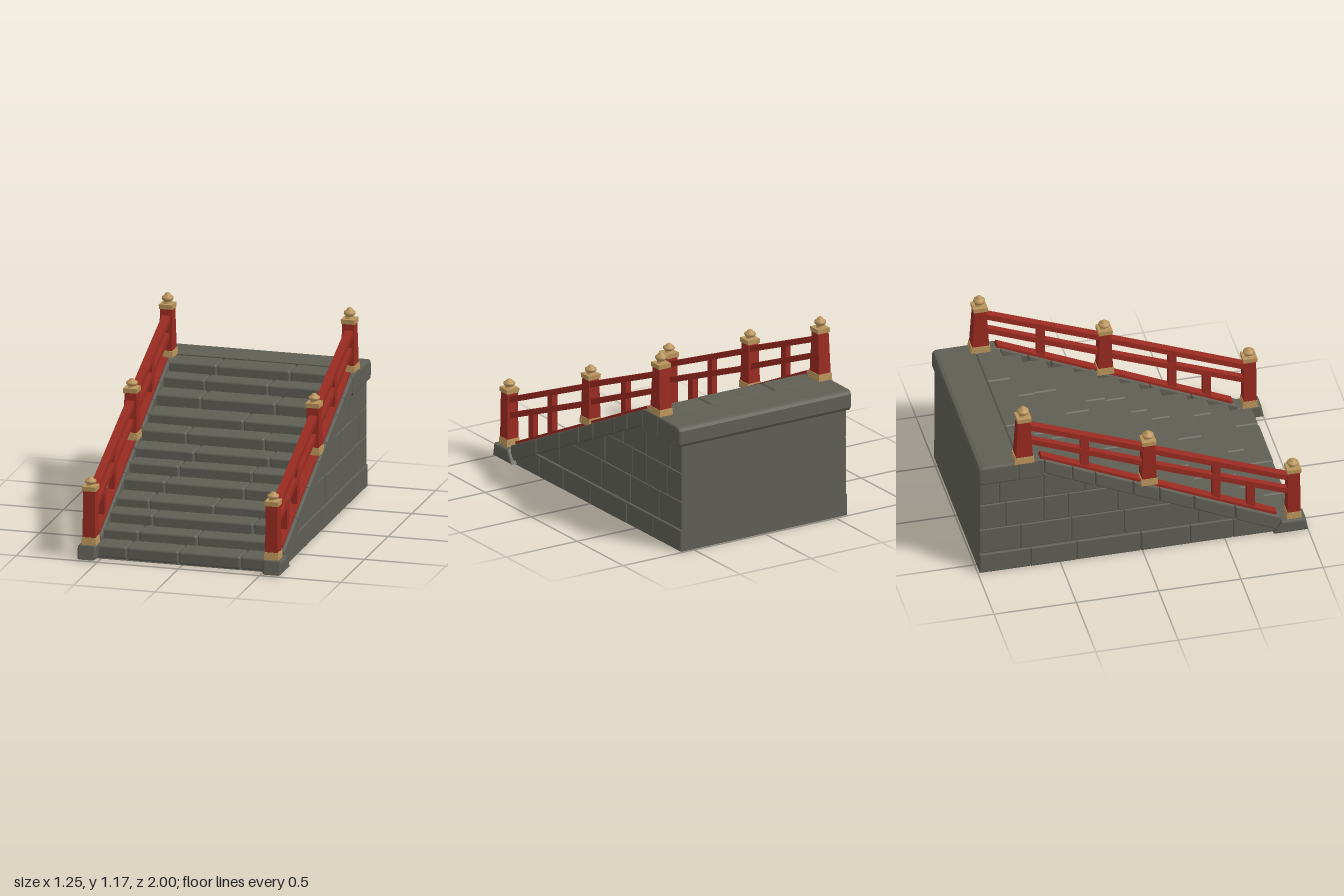
import * as THREE from 'three';
import { RoundedBoxGeometry } from 'three/addons/geometries/RoundedBoxGeometry.js';

const mat = (name, color) => {
  const m = new THREE.MeshStandardMaterial({ color });
  m.name = name;
  return m;
};

export function createModel() {
  const root = new THREE.Group();
  root.name = 'stoneStairway';
  const stone = mat('grey stone', 0x5f5e55);
  const red = mat('red lacquer', 0x982a20);
  const gold = mat('aged brass', 0xba945b);

  let seed = 7;
  const rand = () => (seed = (seed * 16807) % 2147483647) / 2147483647;

  const add = (parent, name, geo, material, x = 0, y = 0, z = 0) => {
    const m = new THREE.Mesh(geo, material);
    m.name = name;
    m.position.set(x, y, z);
    parent.add(m);
    return m;
  };
  const group = (name, parent = root) => {
    const g = new THREE.Group();
    g.name = name;
    parent.add(g);
    return g;
  };

  // Side profile of [z, y] points, extruded from x0 to x1 with a worn edge
  const slab = (pts, x0, x1, b = 0.008) => {
    const shape = new THREE.Shape(pts.map(p => new THREE.Vector2(p[0], p[1])));
    const g = new THREE.ExtrudeGeometry(shape, {
      depth: x1 - x0 - 2 * b, bevelEnabled: b > 0, bevelThickness: b,
      bevelSize: b, bevelOffset: -b, bevelSegments: 2,
    });
    return g.rotateY(-Math.PI / 2).translate(x1 - b, 0, 0);
  };

  // Four-sided block, standing on y = 0, tapering towards its top
  const taper = (w0, d0, w1, d1, h) => {
    const g = new THREE.BoxGeometry(1, h, 1).translate(0, h / 2, 0);
    const p = g.attributes.position;
    for (let i = 0; i < p.count; i++) {
      const top = p.getY(i) > h / 2;
      p.setX(i, p.getX(i) * (top ? w1 : w0));
      p.setZ(i, p.getZ(i) * (top ? d1 : d0));
    }
    g.computeVertexNormals();
    return g;
  };

  // Sloping lines of the side kerbs
  const SLOPE = 0.465;
  const kerbTop = z => 0.79 - SLOPE * (z + 0.62);
  const kerbLow = z => kerbTop(z) - 0.1;

  // Solid core, back wall and underside
  add(root, 'core', slab([[0.92, 0], [-0.988, 0], [-0.988, 0.75], [-0.7, 0.75],
    [-0.6, 0.69], [0.78, 0.055], [0.9, 0.03]], -0.573, 0.573, 0), stone);

  // Landing slab
  add(root, 'landing', slab([[-0.757, 0.66], [-0.757, 0.787], [-0.972, 0.785], [-0.991, 0.778],
    [-1, 0.76], [-1, 0.68], [-0.988, 0.66]], -0.61, 0.605, 0.012), stone);

  // Steps, each a row of worn stones
  const stepZ = [0.93, 0.78, 0.65, 0.52, 0.36, 0.235, 0.115, -0.025, -0.165, -0.33, -0.48, -0.6, -0.725];
  const stepY = [0.005, 0.085, 0.145, 0.21, 0.265, 0.335, 0.4, 0.46, 0.53, 0.59, 0.66, 0.725, 0.785];
  const joints = [[-0.34, -0.02, 0.36], [-0.31, 0.05], [-0.26, 0.36], [-0.32, 0.08], [-0.27, 0.22],
    [-0.22, 0.23], [-0.16, 0.3], [-0.25, 0.23], [0.06], [-0.25, 0.21], [-0.27, 0.12], [-0.23, 0.22]];
  const steps = group('steps');
  joints.forEach((row, i) => {
    const xs = [-0.54, ...row, 0.54];
    const y0 = Math.max(0.005, stepY[i] - 0.025), y1 = stepY[i + 1];
    for (let k = 0; k < xs.length - 1; k++) {
      const front = stepZ[i] + (rand() - 0.5) * 0.01;
      const back = stepZ[i + 1] - 0.03;
      const geo = new RoundedBoxGeometry(xs[k + 1] - xs[k] - 0.002, y1 - y0, front - back, 3, 0.015);
      const m = add(steps, 'stepStone', geo, stone,
        (xs[k] + xs[k + 1]) / 2, (y0 + y1) / 2, (front + back) / 2);
      m.rotation.z = i ? (rand() - 0.5) * 0.014 : 0;
      m.rotation.y = (rand() - 0.5) * 0.014;
    }
  });

  // Keep the part of a polygon that lies under the kerb
  const clip = pts => {
    const out = [];
    pts.forEach((a, i) => {
      const b = pts[(i + 1) % pts.length];
      const da = kerbLow(a[0]) + 0.005 - a[1], db = kerbLow(b[0]) + 0.005 - b[1];
      if (da >= 0) out.push(a);
      if (da * db < 0) {
        const t = da / (da - db);
        out.push([a[0] + (b[0] - a[0]) * t, a[1] + (b[1] - a[1]) * t]);
      }
    });
    return out;
  };

  // Wall courses, set back beneath the kerb and landing; the lowest stands proud
  const courses = [
    { y: [0, 0.133], x: 0.588, z: [-0.99, -0.68, -0.4, -0.01, 0.29, 0.55, 0.9] },
    { y: [0.136, 0.31], x: 0.579, z: [-0.99, -0.74, -0.43, -0.11, 0.34, 0.8] },
    { y: [0.313, 0.49], x: 0.579, z: [-0.99, -0.83, -0.6, -0.45, -0.15, 0.4] },
    { y: [0.493, 0.662], x: 0.579, z: [-0.99, -0.87, -0.6, -0.35, 0.1] },
  ];
  const kerbJoints = [0.84, 0.56, 0.31, 0.1, -0.06, -0.29, -0.43, -0.6];

  // Rounded finial with a collar and a small knob
  const finial = new THREE.LatheGeometry([[0.027, 0], [0.027, 0.009], [0.018, 0.014], [0.033, 0.022],
    [0.039, 0.032], [0.037, 0.042], [0.026, 0.05], [0.02, 0.053], [0.019, 0.059], [0.011, 0.066], [0, 0.067]]
    .map(p => new THREE.Vector2(p[0], p[1])), 16);

  // xs holds the centre on the left and right sides
  const posts = [
    { name: 'frontPost', xs: [0.56, -0.564], z: 0.918, y: 0.088, base: 0.047, h: 0.335, w: 0.08, top: 0.072, f: 0.82 },
    { name: 'middlePost', xs: [0.556, -0.566], z: 0.038, y: 0.49, base: 0.045, h: 0.29, w: 0.092, top: 0.072, f: 0.82 },
    { name: 'topPost', xs: [0.553, -0.568], z: -0.722, y: 0.782, base: 0.045, h: 0.3, w: 0.108, top: 0.072, f: 1 },
  ];

  for (const s of [1, -1]) {
    const label = s > 0 ? 'left' : 'right';
    const railX = s > 0 ? 0.559 : -0.566;
    const span = (pts, a, b, bevel) => s > 0 ? slab(pts, a, b, bevel) : slab(pts, -b, -a, bevel);

    // Coursed side wall
    const wall = group(label + 'Wall');
    courses.forEach(({ y, x, z }) => {
      for (let k = 0; k < z.length - 1; k++) {
        const p = clip([[z[k] + 0.002, y[0]], [z[k + 1] - 0.002, y[0]],
          [z[k + 1] - 0.002, y[1]], [z[k] + 0.002, y[1]]]);
        if (p.length < 3) continue;
        add(wall, 'wallStone', span(p, 0.54, x + rand() * 0.003, 0.006), stone);
      }
    });

    // Sloping kerb with a level end under the top post
    const kerb = group(label + 'Kerb');
    for (let k = 0; k < kerbJoints.length - 1; k++) {
      const a = kerbJoints[k] - 0.002, b = kerbJoints[k + 1] + 0.002;
      add(kerb, 'kerbStone', span([[a, Math.max(0.005, kerbLow(a))], [a, kerbTop(a)],
        [b, kerbTop(b)], [b, kerbLow(b)]], 0.522, 0.606, 0.01), stone);
    }
    add(kerb, 'kerbEnd', span([[-0.6, kerbLow(-0.6)], [-0.6, kerbTop(-0.6)], [-0.63, 0.788],
      [-0.757, 0.788], [-0.757, 0.66], [-0.62, 0.66]], 0.522, 0.606), stone);
    add(kerb, 'pedestal', span([[1, 0.008], [0.985, 0.09], [0.84, 0.09], [0.79, 0.008]],
      0.515, 0.627, 0.012), stone);

    // Posts with brass feet, caps, studs and finials
    const railing = group(label + 'Railing');
    for (const q of posts) {
      const g = group(q.name, railing);
      g.position.set(q.xs[s > 0 ? 0 : 1], q.y, q.z);
      const wx = Math.min(q.w, 0.084);
      add(g, 'shaft', taper(wx, q.w, q.top, q.top, q.h), red);
      add(g, 'foot', taper(wx + 0.009, q.w + 0.012, wx + 0.005, q.w + 0.005, q.base), gold);
      add(g, 'cap', taper(q.top + 0.012, q.top + 0.012, 0.086, 0.086, 0.028), gold, 0, q.h - 0.004);
      const f = add(g, 'finial', finial, gold, 0, q.h + 0.022);
      f.scale.set(0.92, q.f, 0.92);
      const stud = new THREE.SphereGeometry(0.004, 8, 6);
      for (const u of [-1, 1]) for (const v of [-1, 1]) {
        add(g, 'stud', stud, gold, u * (wx / 2 + 0.003), q.base / 2, v * q.w * 0.33);
        add(g, 'stud', stud, gold, u * wx * 0.33, q.base / 2, v * (q.w / 2 + 0.004));
      }
    }

    // Sloping rails: [z0, y0, z1, y1, thickness, width]
    const rails = [
      [0.9, 0.375, 0.05, 0.722, 0.034, 0.05], [0.03, 0.738, -0.71, 1.032, 0.034, 0.05],
      [0.9, 0.276, 0.05, 0.612, 0.034, 0.042], [0.03, 0.627, -0.71, 0.93, 0.034, 0.042],
      [0.81, kerbTop(0.81) + 0.004, 0.05, kerbTop(0.05) + 0.004, 0.026, 0.054],
      [0.03, kerbTop(0.03) + 0.004, -0.62, kerbTop(-0.62) + 0.004, 0.026, 0.054],
    ];
    for (const [z0, y0, z1, y1, h, w] of rails) {
      const len = Math.hypot(z1 - z0, y1 - y0);
      const m = add(railing, 'rail', new THREE.BoxGeometry(w, h, len), red,
        railX, (y0 + y1) / 2, (z0 + z1) / 2);
      m.rotation.x = -Math.atan2(y0 - y1, z0 - z1);
    }

    // Balusters: [z, top]
    for (const [z, top] of [[0.66, 0.37], [0.45, 0.56], [-0.35, 0.885]]) {
      const y0 = kerbTop(z) - 0.01;
      add(railing, 'baluster', new THREE.BoxGeometry(0.036, top - y0, 0.05), red, railX, (top + y0) / 2, z);
    }
  }
  return root;
}
